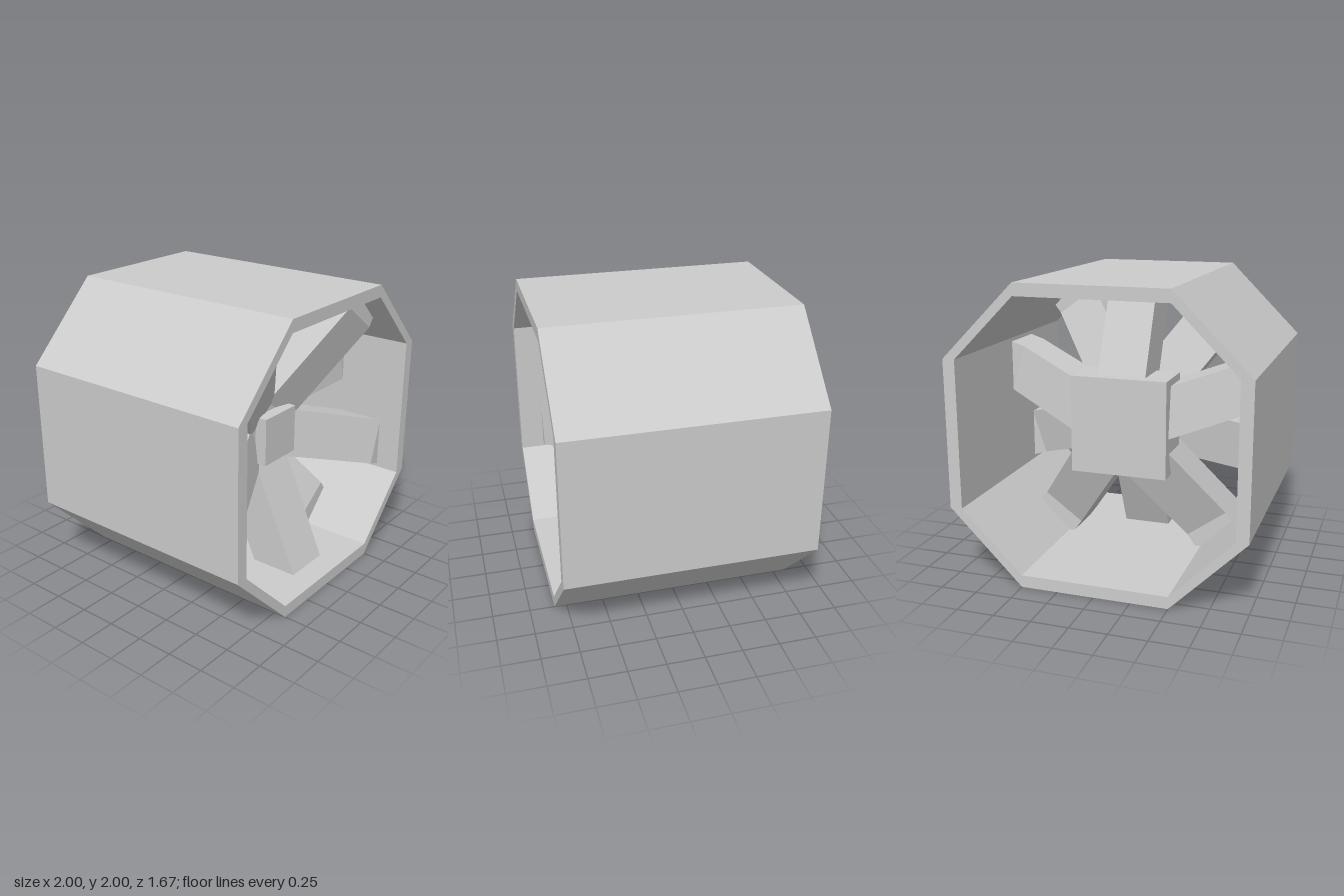
import * as THREE from 'three';

const material = new THREE.MeshStandardMaterial({ color: 0xcccccc, flatShading: true });

// Octagon with half-width h and corners cut at c
function octagon(PathType, h, c) {
  const pts = [[c, h], [-c, h], [-h, c], [-h, -c], [-c, -h], [c, -h], [h, -c], [h, c]];
  return new PathType(pts.map(([x, y]) => new THREE.Vector2(x, y)));
}

function add(parent, name, geometry, x = 0, y = 0, z = 0) {
  const mesh = new THREE.Mesh(geometry, material);
  mesh.name = name;
  mesh.position.set(x, y, z);
  parent.add(mesh);
  return mesh;
}

// Largest radius along direction (sx, cy) from an offset point that stays inside the casing wall
function wallRadius(sx, cy, ox, oy) {
  const planes = [[1, 0, 0.96], [0, 1, 0.96], [-1, 0, 0.96], [0, -1, 0.96],
    [1, 1, 1.46], [1, -1, 1.46], [-1, 1, 1.46], [-1, -1, 1.46]];
  let r = Infinity;
  for (const [a, b, d] of planes) {
    const rate = a * sx + b * cy;
    if (rate > 1e-6) r = Math.min(r, (d - a * ox - b * oy) / rate);
  }
  return r;
}

// Swept-forward spoke: flat root, sloped middle, flat tip buried in the wall
function spokeGeometry(angle, zBack) {
  const t = 1 / 3, root = 1 / 6, tip = 0.917, end = 2;
  const profile = new THREE.Shape([
    [0, 0], [root, 0], [tip, t], [end, t], [end, 2 * t], [tip, 2 * t], [root, t], [0, t],
  ].map(([r, z]) => new THREE.Vector2(r, z + zBack)));
  const geometry = new THREE.ExtrudeGeometry(profile, { depth: t, bevelEnabled: false });
  const s = Math.sin(angle), c = Math.cos(angle);
  const pos = geometry.attributes.position;
  for (let i = 0; i < pos.count; i++) {
    const side = pos.getZ(i) - t / 2;
    const ox = side * c, oy = -side * s;
    let r = pos.getX(i);
    if (r > 1.5) r = wallRadius(s, c, ox, oy);
    pos.setXYZ(i, ox + r * s, oy + r * c, pos.getY(i));
  }
  geometry.computeVertexNormals();
  return geometry;
}

export function createModel() {
  const model = new THREE.Group();
  model.name = 'ductedFan';

  // Octagonal casing, open at both ends
  const ring = octagon(THREE.Shape, 1, 0.5);
  ring.holes.push(octagon(THREE.Path, 0.917, 0.5));
  const depth = 5 / 3;
  add(model, 'casing', new THREE.ExtrudeGeometry(ring, { depth, bevelEnabled: false }), 0, 1, -depth / 2);

  // Stepped square hub
  add(model, 'rearHub', new THREE.BoxGeometry(2 / 3, 2 / 3, 1 / 3), 0, 1, -1 / 6);
  add(model, 'frontHub', new THREE.BoxGeometry(1 / 3, 1 / 3, 0.417), 0, 1, 0.2085);

  // Two sets of five spokes, the front set turned half a step
  for (let i = 0; i < 5; i++) {
    const angle = (i * 2 * Math.PI) / 5;
    add(model, 'rearSpoke', spokeGeometry(angle, -1 / 3), 0, 1, 0);
    add(model, 'frontSpoke', spokeGeometry(angle + Math.PI, 0), 0, 1, 0);
  }
  return model;
}
